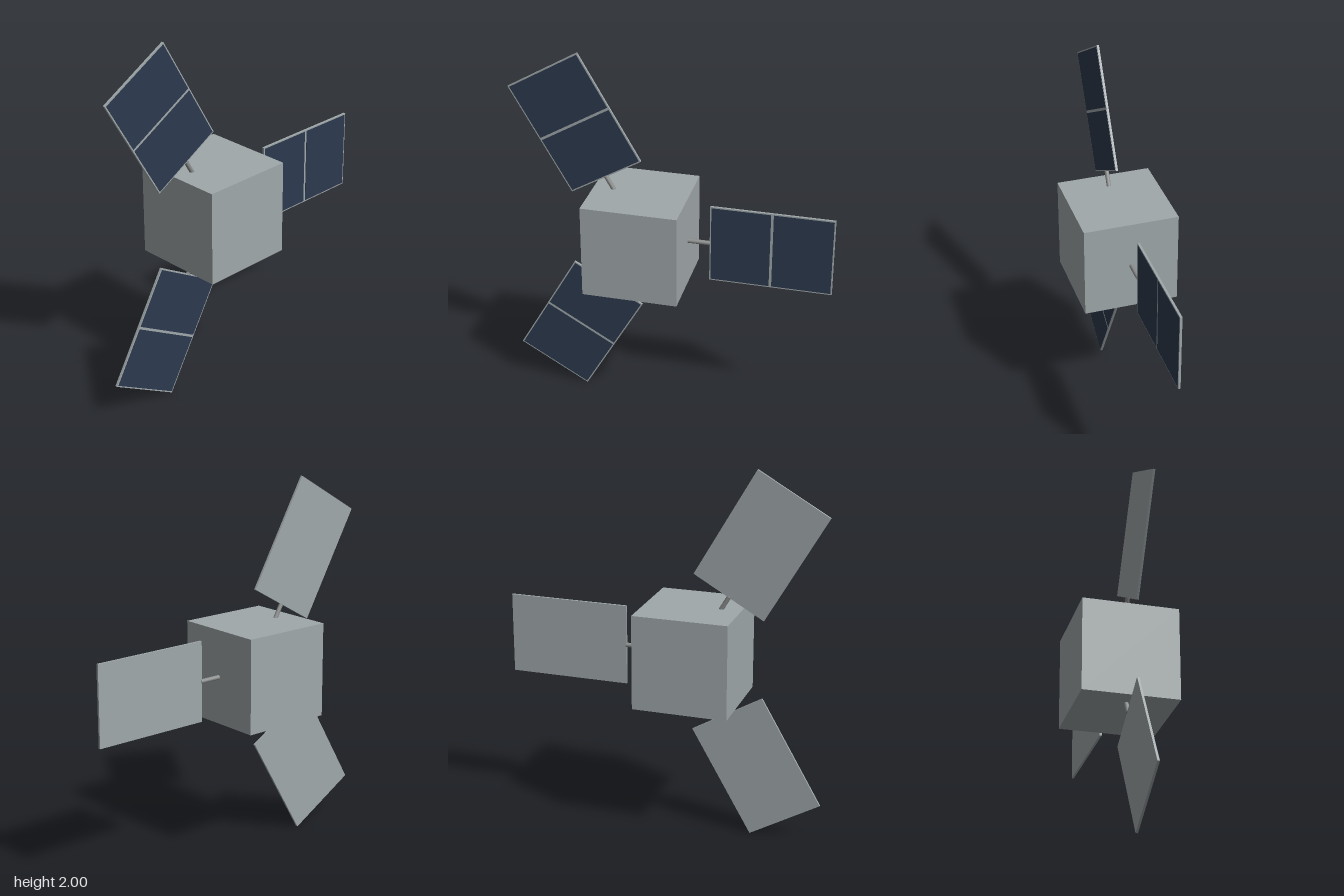
import * as THREE from 'three';

const hull = new THREE.MeshStandardMaterial({ color: 0xa0a8aa });
hull.name = 'hull grey';
const cell = new THREE.MeshStandardMaterial({ color: 0x2c3a4e });
cell.name = 'solar cell navy';
const metal = new THREE.MeshStandardMaterial({ color: 0x8c8f8e });
metal.name = 'strut grey';

const BODY = 0.51;
const INNER = 0.372, OUTER = 1.026, WIDTH = 0.436, THICK = 0.012;
const BORDER = 0.007, GAP = 0.014;

function add(parent, name, geometry, material, x = 0, y = 0, z = 0) {
  const mesh = new THREE.Mesh(geometry, material);
  mesh.name = name;
  mesh.position.set(x, y, z);
  parent.add(mesh);
  return mesh;
}

// One wing reaching out along +x: strut, backing panel and two cells on the front
function makeWing() {
  const wing = new THREE.Group();
  wing.name = 'solarWing';

  const start = BODY / 2 - 0.03, end = INNER + 0.003;
  const strut = new THREE.CylinderGeometry(0.012, 0.012, end - start, 12);
  strut.rotateZ(Math.PI / 2);
  add(wing, 'strut', strut, metal, (start + end) / 2);

  const length = OUTER - INNER, middle = (INNER + OUTER) / 2;
  add(wing, 'panelFrame', new THREE.BoxGeometry(length, WIDTH, THICK), hull, middle);

  const cellLength = (length - GAP) / 2 - BORDER;
  for (const side of [-1, 1]) {
    add(wing, 'solarCell', new THREE.BoxGeometry(cellLength, WIDTH - 2 * BORDER, 0.002), cell,
      middle + side * (GAP + cellLength) / 2, 0, THICK / 2 + 0.0005);
  }
  return wing;
}

export function createModel() {
  const model = new THREE.Group();
  model.name = 'satellite';

  const craft = new THREE.Group();
  craft.name = 'spacecraft';
  craft.position.set(-0.165, 1, 0);
  model.add(craft);

  add(craft, 'body', new THREE.BoxGeometry(BODY, BODY, BODY), hull);

  // Three wings spaced evenly around the body, all facing the front
  for (let i = 0; i < 3; i++) {
    const wing = makeWing();
    wing.rotation.z = (i * 2 * Math.PI) / 3;
    // Angled struts start deeper so they meet the top and bottom faces
    craft.add(wing);
  }
  return model;
}
